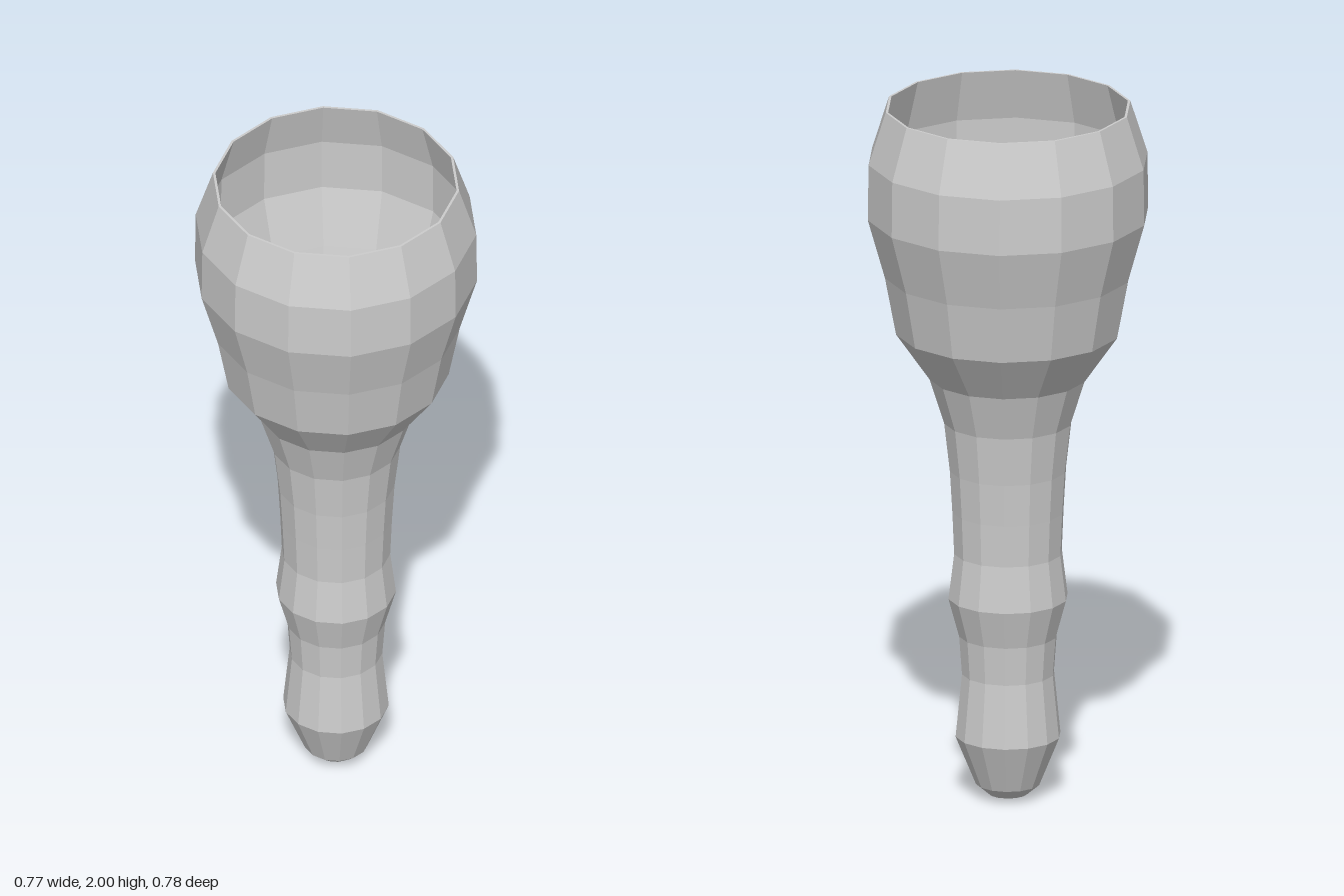
import * as THREE from 'three';

const SIDES = 14;
const TURN = THREE.MathUtils.degToRad(-3);

// Faceted surface of revolution from [radius, height] pairs, listed so the faces point outward
function revolve(name, profile, material) {
  const points = profile.map(([r, y]) => new THREE.Vector2(r, y));
  const mesh = new THREE.Mesh(new THREE.LatheGeometry(points, SIDES, TURN), material);
  mesh.name = name;
  return mesh;
}

export function createModel() {
  const group = new THREE.Group();
  group.name = 'taperedCup';
  const material = new THREE.MeshStandardMaterial({ color: 0xcccccc, flatShading: true });

  // Rounded foot and wavy stem
  const stem = [
    [0, 0], [0.055, 0.01], [0.09, 0.04], [0.147, 0.18], [0.129, 0.36],
    [0.137, 0.47], [0.167, 0.58], [0.151, 0.71], [0.156, 0.83],
    [0.163, 0.95], [0.179, 1.09],
  ];
  // Flared bowl with a rim that draws in at the top
  const bowl = [
    [0.179, 1.09], [0.22, 1.22], [0.314, 1.355], [0.345, 1.52],
    [0.393, 1.69], [0.391, 1.85], [0.343, 2],
  ];
  // Thin lip
  const lip = [[0.343, 2], [0.336, 2]];
  // Inner wall following the bowl down to a shallow pointed floor
  const hollow = [
    [0.336, 2], [0.376, 1.85], [0.378, 1.69], [0.33, 1.52],
    [0.29, 1.37], [0.165, 1.24], [0, 1.16],
  ];

  group.add(
    revolve('stem', stem, material),
    revolve('bowl', bowl, material),
    revolve('lip', lip, material),
    revolve('hollow', hollow, material),
  );
  return group;
}
